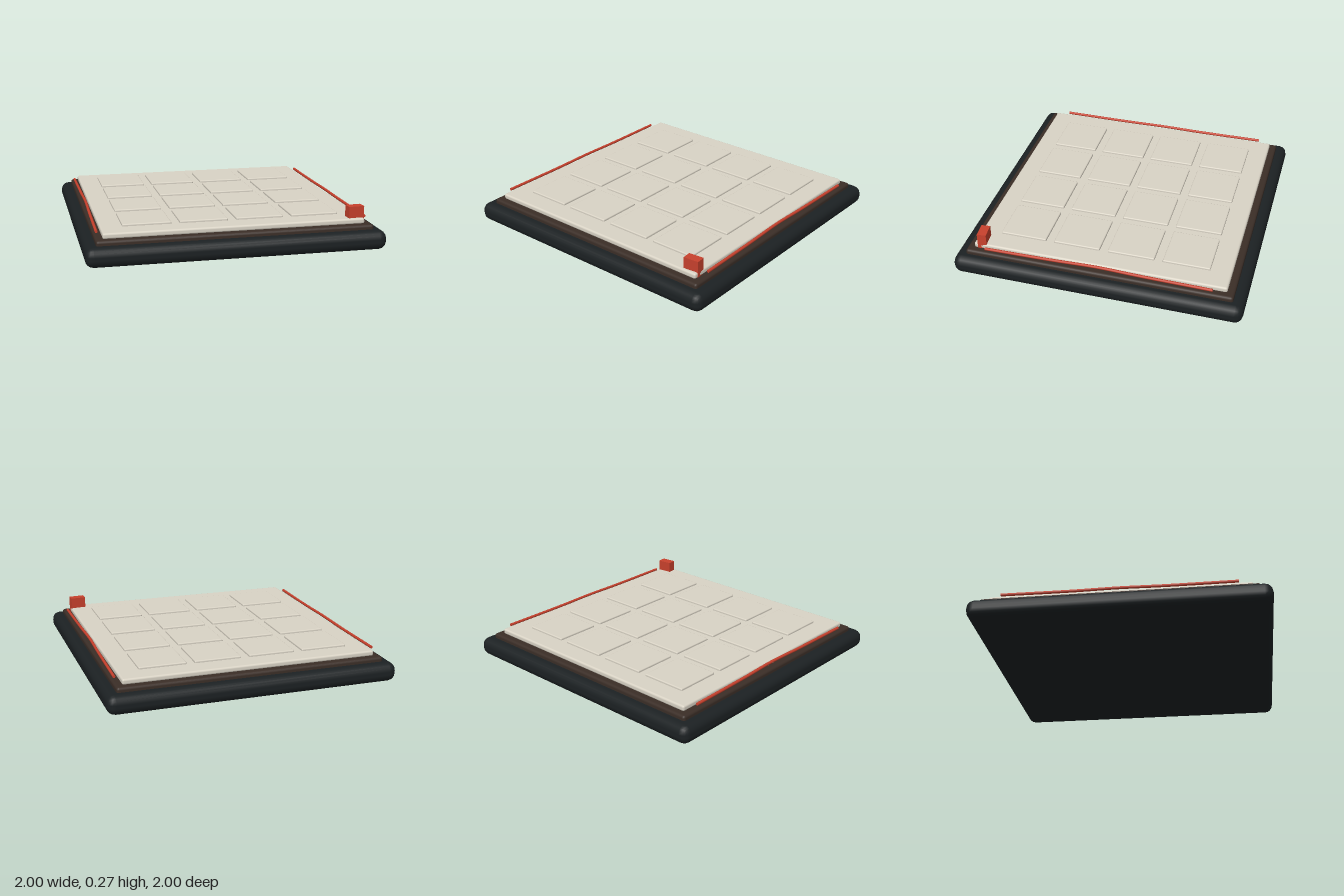
import * as THREE from 'three';
import { RoundedBoxGeometry } from 'three/addons/geometries/RoundedBoxGeometry.js';

const paint = (color) => new THREE.MeshStandardMaterial({ color });

export function createModel() {
  const model = new THREE.Group();
  const dark = paint(0x1c2123), brown = paint(0x3b2e27);
  const cream = paint(0xd9d3c5), red = paint(0xc8412d);

  const add = (name, geometry, material, x, y, z) => {
    const mesh = new THREE.Mesh(geometry, material);
    mesh.name = name;
    mesh.position.set(x, y, z);
    model.add(mesh);
    return mesh;
  };
  // Rounded slab spanning heights y0 to y1
  const slab = (name, size, y0, y1, radius, material, x = 0, z = 0) =>
    add(name, new RoundedBoxGeometry(size, y1 - y0, size, 2, radius), material, x, (y0 + y1) / 2, z);

  // Stacked body
  slab('base', 2, 0, 0.13, 0.055, dark);
  slab('frame', 1.85, 0.08, 0.162, 0.018, brown);
  slab('topPlate', 1.755, 0.157, 0.197, 0.014, cream);

  // Four by four grid of raised pads
  for (let row = 0; row < 4; row++) {
    for (let col = 0; col < 4; col++) {
      slab('pad', 0.324, 0.186, 0.212, 0.008, cream, (col - 1.5) * 0.381, (row - 1.5) * 0.381);
    }
  }

  // Thin, gently bowed cords along both sides
  for (const side of [-1, 1]) {
    const path = new THREE.CatmullRomCurve3([
      new THREE.Vector3(side * 0.908, 0.188, -0.785),
      new THREE.Vector3(side * 0.902, 0.19, -0.3),
      new THREE.Vector3(side * 0.898, 0.196, 0),
      new THREE.Vector3(side * 0.902, 0.19, 0.3),
      new THREE.Vector3(side * 0.908, 0.188, 0.785),
    ]);
    add(side > 0 ? 'leftCord' : 'rightCord', new THREE.TubeGeometry(path, 24, 0.01, 8), red, 0, 0, 0);
    // Closed ends
    for (const end of [-1, 1]) {
      const cap = add('cordEnd', new THREE.CircleGeometry(0.01, 8), red, side * 0.908, 0.188, end * 0.785);
      if (end < 0) cap.rotation.y = Math.PI;
    }
  }

  // Small tab standing on the front corner
  const tab = add('cornerTab', new THREE.BoxGeometry(0.108, 0.115, 0.063), red, 0.823, 0.217, 0.823);
  tab.rotation.y = 0.09;

  return model;
}
